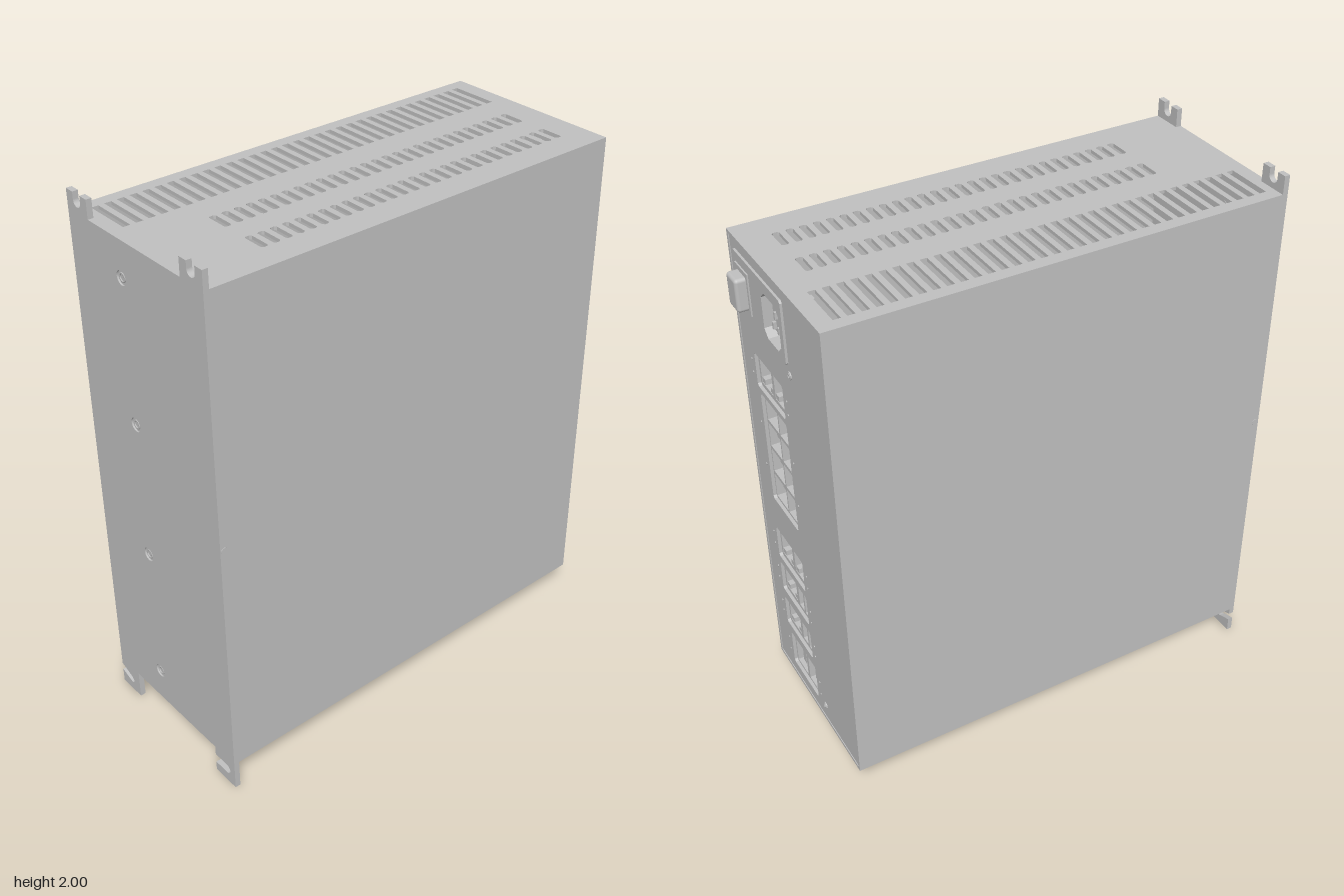
import * as THREE from 'three';
import { RoundedBoxGeometry } from 'three/addons/geometries/RoundedBoxGeometry.js';

const X0 = -0.35, X1 = 0.345, Y0 = 0.11, Y1 = 1.935, ZB = -0.795, ZF = 0.845, T = 0.012;

export function createModel() {
  const root = new THREE.Group();
  root.name = 'rackController';
  const metal = new THREE.MeshStandardMaterial({ color: 0xc0c0c0 });
  metal.name = 'light grey metal';

  // Helpers
  const add = (name, geo, x = 0, y = 0, z = 0, parent = root) => {
    const m = new THREE.Mesh(geo, metal);
    m.name = name;
    m.position.set(x, y, z);
    parent.add(m);
    return m;
  };
  const box = (name, x0, x1, y0, y1, z0, z1, parent = root) =>
    add(name, new THREE.BoxGeometry(x1 - x0, y1 - y0, z1 - z0), (x0 + x1) / 2, (y0 + y1) / 2, (z0 + z1) / 2, parent);
  const trace = (p, pts) => {
    pts.forEach(([x, y], i) => (i ? p.lineTo(x, y) : p.moveTo(x, y)));
    p.closePath();
    return p;
  };
  // Rectangle outline with optional cut corners
  const rect = (P, x0, x1, y0, y1, c = 0) => trace(new P(), c
    ? [[x0 + c, y0], [x1 - c, y0], [x1, y0 + c], [x1, y1 - c], [x1 - c, y1], [x0 + c, y1], [x0, y1 - c], [x0, y0 + c]]
    : [[x0, y0], [x1, y0], [x1, y1], [x0, y1]]);
  const circle = (x, y, r) => new THREE.Path().absarc(x, y, r, 0, Math.PI * 2, true);
  const plate = (shape, depth, curveSegments = 16) =>
    new THREE.ExtrudeGeometry(shape, { depth, bevelEnabled: false, curveSegments });
  const disc = (name, r, h, x, y, z, sides = 24, parent = root) => {
    const m = add(name, new THREE.CylinderGeometry(r, r, h, sides), x, y, z, parent);
    m.rotation.x = Math.PI / 2;
    return m;
  };

  // Mounting plate with slotted ears
  const s = new THREE.Shape();
  s.moveTo(X0, 0);
  [[-0.24, 0], [-0.24, Y0], [0.235, Y0], [0.235, 0.074], [0.3, 0.074]].forEach(p => s.lineTo(...p));
  s.absarc(0.3, 0.0555, 0.0185, Math.PI / 2, -Math.PI / 2, true);
  [[0.235, 0.037], [0.235, 0], [X1, 0], [X1, 2], [0.31, 2], [0.31, 1.975]].forEach(p => s.lineTo(...p));
  s.absarc(0.29, 1.975, 0.02, 0, Math.PI, true);
  [[0.27, 2], [0.235, 2], [0.235, Y1], [-0.24, Y1], [-0.24, 2], [-0.275, 2], [-0.275, 1.975]].forEach(p => s.lineTo(...p));
  s.absarc(-0.295, 1.975, 0.02, 0, Math.PI, true);
  [[-0.315, 2], [X0, 2], [X0, 0.085], [-0.295, 0.064]].forEach(p => s.lineTo(...p));
  s.bezierCurveTo(-0.268, 0.054, -0.272, 0.026, -0.302, 0.037);
  s.lineTo(X0, 0.055);
  s.closePath();
  const screwY = [0.24, 0.765, 1.285, 1.805];
  screwY.forEach(y => s.holes.push(circle(-0.08, y, 0.025)));
  add('mountingPlate', plate(s, 0.02), 0, 0, ZF - 0.02);
  screwY.forEach(y => {
    disc('frontScrew', 0.025, 0.012, -0.08, y, ZF - 0.012);
    add('frontScrewRim', new THREE.TorusGeometry(0.014, 0.003, 6, 20), -0.08, y, ZF - 0.005);
  });

  // Side walls with small locating pins
  [[X0, X0 + T, X0], [X1 - T, X1, X1]].forEach(([a, b, face]) => {
    box('sideWall', a, b, Y0, Y1, ZB - 0.003, ZF - 0.02);
    const pin = add('locatingPin', new THREE.CylinderGeometry(0.013, 0.013, 0.004, 12), face, 1.03, 0.83);
    pin.rotation.z = Math.PI / 2;
  });

  // Vented top: one column of long slots and two of short slots
  const top = rect(THREE.Shape, X0 + T, X1 - T, ZB - 0.003, ZF - 0.02);
  const pitch = 0.0456, h = 0.0125;
  for (let i = 0; i < 34; i++) {
    const z = -0.725 + i * pitch;
    top.holes.push(rect(THREE.Path, -0.305, -0.13, z - h, z + h));
    if (i > 0 && i < 29) {
      top.holes.push(rect(THREE.Path, -0.022, 0.065, z - h, z + h, 0.006));
      top.holes.push(rect(THREE.Path, 0.155, 0.242, z - h, z + h, 0.006));
    }
  }
  add('ventedTop', plate(top, T), 0, Y1, 0).rotation.x = Math.PI / 2;

  // Bottom with four fans
  const fanX = -0.185, R = 0.145, fanZ = [-0.53, -0.15, 0.23, 0.61];
  const bottom = rect(THREE.Shape, X0 + T, X1 - T, ZB - 0.003, ZF - 0.02);
  fanZ.forEach(z => bottom.holes.push(circle(fanX, z, R)));
  add('bottomPanel', plate(bottom, T, 32), 0, Y0 + T, 0).rotation.x = Math.PI / 2;
  const frame = rect(THREE.Shape, -0.15, 0.15, -0.15, 0.15, 0.01);
  frame.holes.push(circle(0, 0, R));
  const frameGeo = plate(frame, 0.09, 32);
  const blade = new THREE.Shape();
  blade.moveTo(0.08, -0.022);
  blade.quadraticCurveTo(0.12, -0.025, 0.138, -0.004);
  blade.lineTo(0.138, 0.042);
  blade.quadraticCurveTo(0.11, 0.016, 0.08, 0.018);
  blade.closePath();
  const bladeGeo = plate(blade, 0.005, 6).rotateX(0.6);
  fanZ.forEach(z => {
    const fan = new THREE.Group();
    fan.name = 'fan';
    fan.position.set(fanX, Y0 + T, z);
    root.add(fan);
    add('fanFrame', frameGeo, 0, 0.09, 0, fan).rotation.x = Math.PI / 2;
    add('fanHub', new THREE.CylinderGeometry(0.087, 0.087, 0.075, 32), 0, 0.028, 0, fan);
    for (let i = 0; i < 9; i++) {
      const b = add('fanBlade', bladeGeo, 0, 0.045, 0, fan);
      b.rotation.set(Math.PI / 2, 0, i * Math.PI * 2 / 9);
    }
    for (let i = 0; i < 4; i++) {
      const arm = new THREE.Group();
      arm.name = 'fanStrut';
      arm.rotation.y = Math.PI / 4 + i * Math.PI / 2;
      fan.add(arm);
      box('strut', 0.08, R + 0.004, -0.008, 0.004, -0.007, 0.007, arm);
    }
  });

  // Interior circuit board and components seen through the vents
  box('circuitBoard', 0.0, 0.01, 0.3, 1.6, -0.65, 0.72);
  for (let i = 0; i < 14; i++) box('boardComponent', 0.01, 0.035, 1.35, 1.5, -0.6 + i * 0.085, -0.56 + i * 0.085);

  // Back panel, its recessed port groups and power inlet
  const back = rect(THREE.Shape, X0 + T, X1 - T, Y0 + T, Y1 - T);
  const cut = (x0, x1, y0, y1, c) => back.holes.push(rect(THREE.Path, x0, x1, y0, y1, c));
  // Open recess behind a port hole
  const recess = (x0, x1, y0, y1, z, depth, c = 0) => {
    const w = rect(THREE.Shape, x0 - 0.004, x1 + 0.004, y0 - 0.004, y1 + 0.004);
    w.holes.push(rect(THREE.Path, x0, x1, y0, y1, c));
    add('portShell', plate(w, depth), 0, 0, z);
    box('portBack', x0, x1, y0, y1, z + depth - 0.004, z + depth);
  };
  // Each group: left, right, bottom, top, then ports [x0, x1, y0, y1, tongue] as fractions
  const network = [0.54, 0.95, 0.12, 0.88, 'jack'];
  const slots = [[0.05, 0.23, 0.1, 0.9, 'tall'], [0.28, 0.46, 0.1, 0.9, 'tall']];
  const cages = [];
  for (let r = 0; r < 4; r++) for (let c = 0; c < 2; c++)
    cages.push([0.03 + c * 0.49, 0.48 + c * 0.49, 0.02 + r * 0.245, 0.235 + r * 0.245, 'wide']);
  const groups = [
    [0.01, 0.235, 1.41, 1.54, [network, [0.05, 0.46, 0.12, 0.88, 'jack']]],
    [0.01, 0.22, 0.95, 1.39, cages],
    [0.01, 0.235, 0.675, 0.81, [network, [0.05, 0.46, 0.12, 0.88, 'jack']]],
    [0.01, 0.235, 0.515, 0.645, [network, ...slots]],
    [0.01, 0.235, 0.35, 0.475, [network, ...slots]],
    [-0.005, 0.21, 0.165, 0.315, [[0.04, 0.46, 0.06, 0.94, 'tall'], [0.54, 0.96, 0.06, 0.94, 'tall']]],
  ];
  groups.forEach(([a, b, lo, hi, ports]) => {
    cut(a, b, lo, hi, 0.008);
    const face = rect(THREE.Shape, a - 0.005, b + 0.005, lo - 0.005, hi + 0.005);
    const zf = ZB + T;
    ports.forEach(([u0, u1, v0, v1, kind]) => {
      const x0 = a + u0 * (b - a), x1 = a + u1 * (b - a), y0 = lo + v0 * (hi - lo), y1 = lo + v1 * (hi - lo);
      const cx = (x0 + x1) / 2, cy = (y0 + y1) / 2, w = x1 - x0, t = y1 - y0;
      face.holes.push(rect(THREE.Path, x0, x1, y0, y1));
      recess(x0, x1, y0, y1, zf + 0.004, 0.08);
      if (kind === 'tall') box('portTongue', cx - w * 0.14, cx + w * 0.14, y0 + t * 0.15, y1 - t * 0.15, zf + 0.01, zf + 0.08);
      if (kind === 'wide') box('portTongue', x0 + w * 0.15, x1 - w * 0.15, cy - 0.008, cy + 0.008, zf + 0.02, zf + 0.08);
      if (kind === 'jack') {
        for (const d of [-1, 1]) box('jackCorner', cx + d * w * 0.37 - w * 0.13, cx + d * w * 0.37 + w * 0.13, y0, y0 + t * 0.2, zf + 0.002, zf + 0.07);
        box('jackContacts', x0 + w * 0.2, x1 - w * 0.2, y1 - t * 0.25, y1 - t * 0.12, zf + 0.02, zf + 0.08);
      }
    });
    add('portFace', plate(face, 0.004), 0, 0, zf);
    // Indicator dots beside each group
    for (const x of [a - 0.03, b + 0.025]) for (const f of [0.3, 0.7])
      disc('indicator', 0.004, 0.004, x, lo + f * (hi - lo), ZB - 0.001, 8);
  });

  // Power inlet plate, socket and rocker switch
  cut(-0.045, 0.085, 1.69, 1.85, 0.025);
  const inlet = rect(THREE.Shape, -0.07, 0.3, 1.665, 1.89, 0.008);
  inlet.holes.push(rect(THREE.Path, -0.045, 0.085, 1.69, 1.85, 0.025));
  add('inletPlate', plate(inlet, 0.008), 0, 0, ZB - 0.008);
  recess(-0.045, 0.085, 1.69, 1.85, ZB + T, 0.1, 0.025);
  box('socketCore', -0.015, 0.055, 1.72, 1.81, ZB + 0.015, ZB + 0.1);
  for (const [x, y] of [[0.02, 1.79], [0.0, 1.745], [0.04, 1.745]]) box('socketPin', x - 0.005, x + 0.005, y - 0.012, y + 0.012, ZB + 0.004, ZB + 0.05);
  box('switchBezel', 0.178, 0.277, 1.705, 1.855, ZB - 0.013, ZB - 0.006);
  add('rockerSwitch', new RoundedBoxGeometry(0.075, 0.118, 0.06, 3, 0.012), 0.2265, 1.779, -0.815);

  // Back screws
  for (const y of [0.185, 1.63]) {
    disc('backScrew', 0.014, 0.008, -0.073, y, ZB);
    add('backScrewRim', new THREE.TorusGeometry(0.008, 0.002, 6, 16), -0.073, y, ZB - 0.004);
  }
  add('backPanel', plate(back, T), 0, 0, ZB);
  return root;
}
